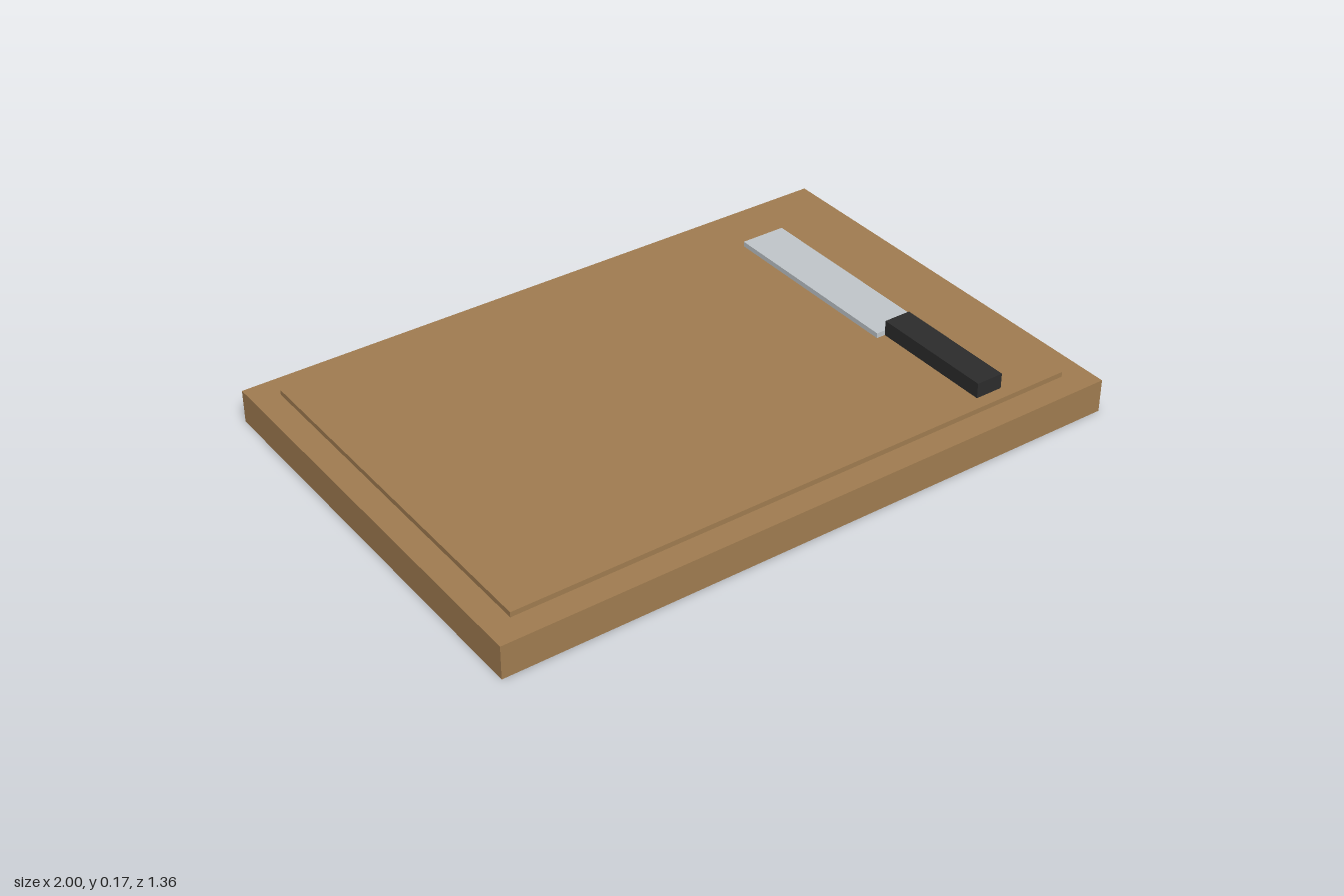
import * as THREE from 'three';

const material = (name, color) => {
  const m = new THREE.MeshStandardMaterial({ color });
  m.name = name;
  return m;
};

// Box given by its size, its base height and its centre in x and z
function addBox(parent, name, mat, [w, h, d], [x, base, z]) {
  const mesh = new THREE.Mesh(new THREE.BoxGeometry(w, h, d), mat);
  mesh.name = name;
  mesh.position.set(x, base + h / 2, z);
  parent.add(mesh);
}

export function createModel() {
  const wood = material('wood', 0xa07c50);
  const steel = material('steel', 0xc0c6ca);
  const black = material('black handle', 0x2c2c2c);

  const model = new THREE.Group();
  model.name = 'cuttingBoardWithKnife';

  // Board with a slightly raised cutting surface
  const boardTop = 0.104;
  const surfaceTop = 0.12;
  addBox(model, 'board', wood, [2, boardTop, 1.36], [0, 0, 0]);
  addBox(model, 'cuttingSurface', wood, [1.84, surfaceTop - boardTop, 1.2], [0, boardTop, 0]);

  // Knife lying on the cutting surface
  const knife = new THREE.Group();
  knife.name = 'knife';
  knife.position.set(0.68, surfaceTop, 0);
  addBox(knife, 'blade', steel, [0.146, 0.016, 0.64], [0, 0, -0.16]);
  addBox(knife, 'handle', black, [0.088, 0.048, 0.4], [0, 0, 0.36]);
  model.add(knife);

  return model;
}
